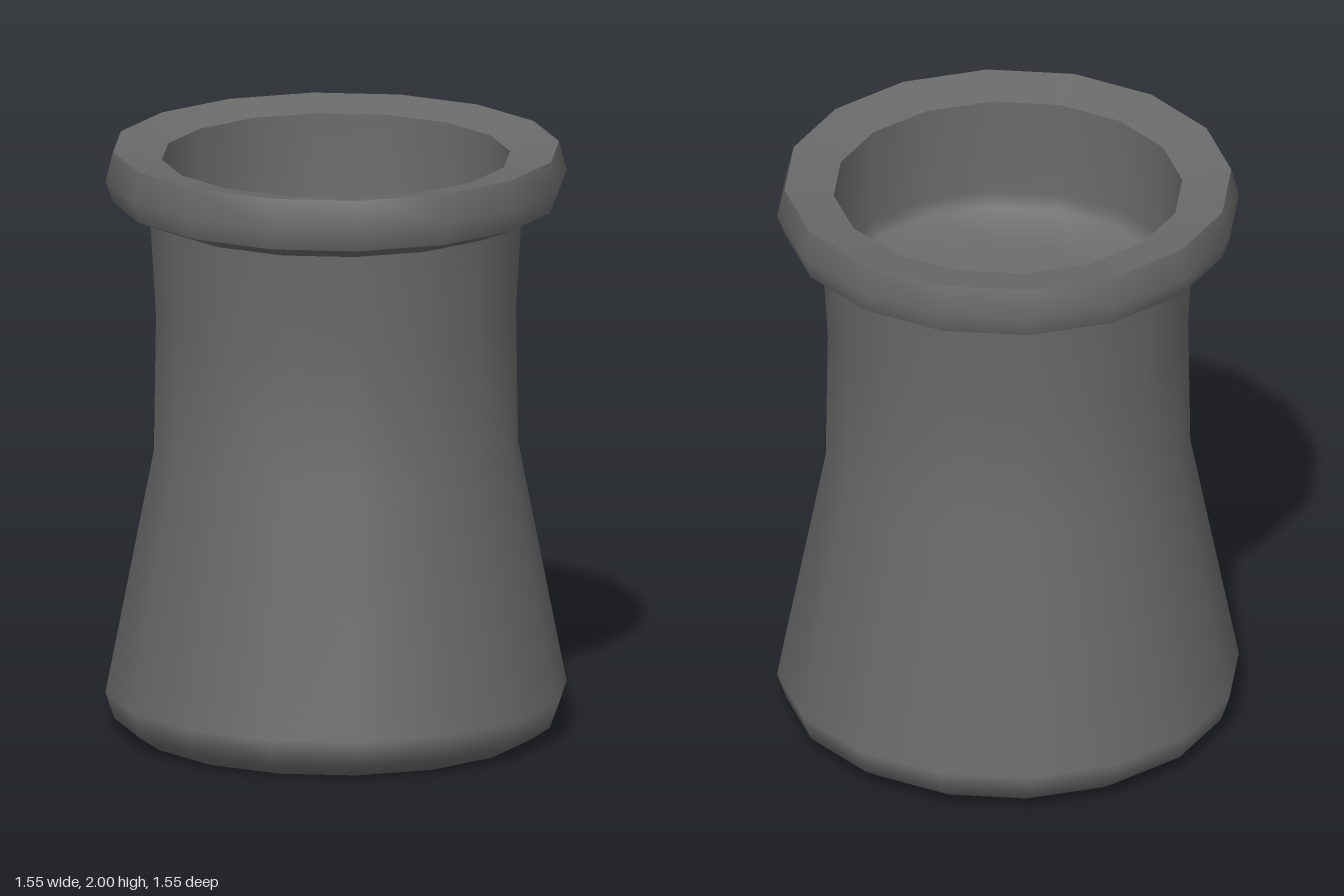
import * as THREE from 'three';

const SIDES = 16;

export function createModel() {
  const group = new THREE.Group();
  const material = new THREE.MeshStandardMaterial({ color: 0x6a6a6a });

  // One smooth turned surface; separate surfaces meet in sharp edges.
  const turn = (name, profile) => {
    const points = profile.map(([r, y]) => new THREE.Vector2(r, y));
    const mesh = new THREE.Mesh(new THREE.LatheGeometry(points, SIDES), material);
    mesh.name = name;
    group.add(mesh);
  };

  // Base with rounded foot, flared body and narrow neck
  turn('body', [
    [0, 0], [0.67, 0], [0.745, 0.05], [0.775, 0.14],
    [0.612, 0.97], [0.605, 1.43], [0.625, 1.775],
  ]);

  // Collar around the mouth, its rim sloping slightly inward
  turn('collarUnderside', [[0.625, 1.775], [0.747, 1.825]]);
  turn('collarSide', [[0.747, 1.825], [0.775, 1.9], [0.75, 2]]);
  turn('rim', [[0.75, 2], [0.585, 1.97]]);

  // Hollow inside: upright wall and a gently dished floor
  turn('hollow', [
    [0.585, 1.97], [0.583, 1.63], [0.565, 1.575], [0.4, 1.53], [0, 1.49],
  ]);

  return group;
}
